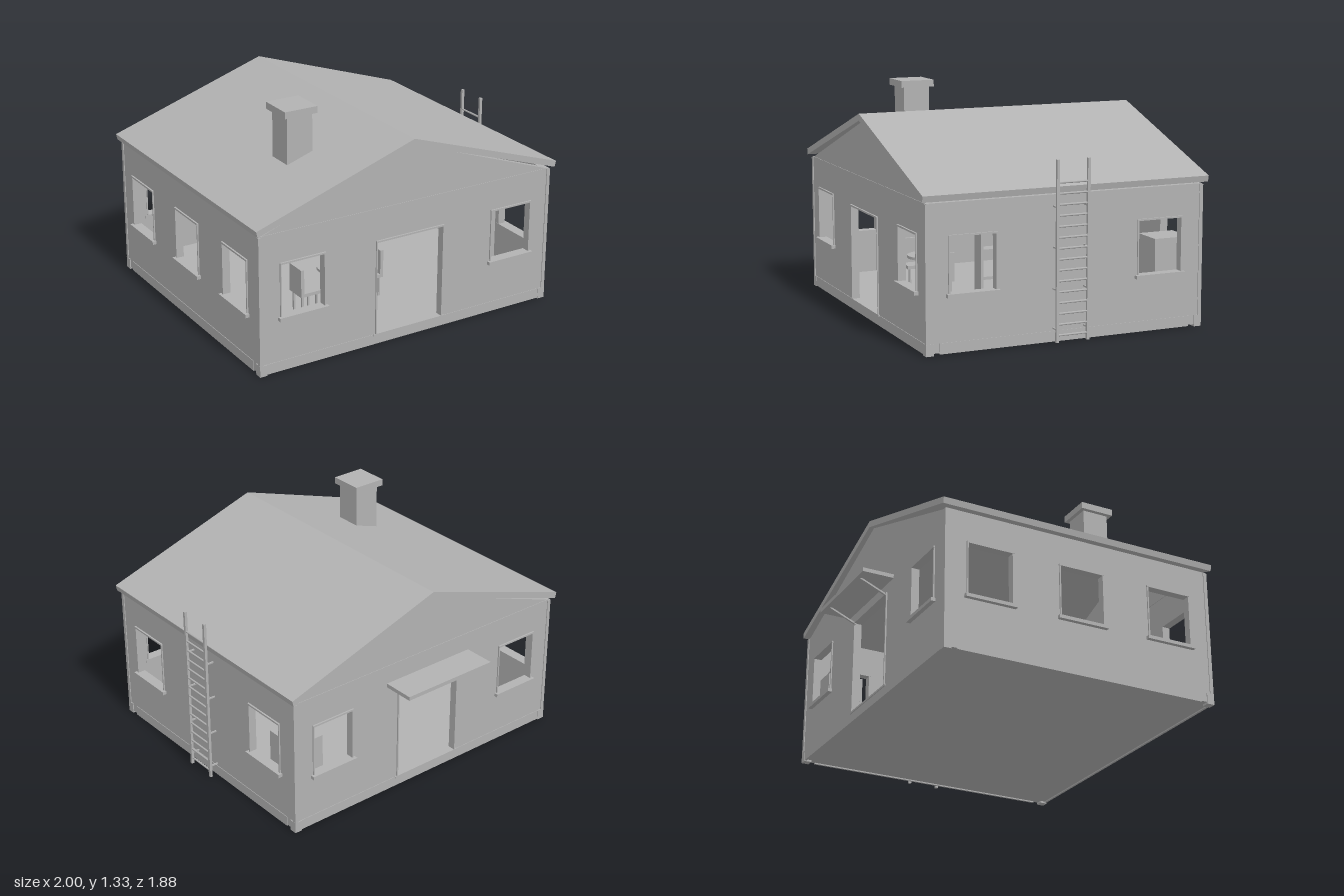
import * as THREE from 'three';

const grey = new THREE.MeshStandardMaterial({ color: 0xb2b2b2 });
grey.name = 'plain grey';

const CX = -0.015, CZ = 0.08;   // house centre
const HX = 0.955, HZ = 0.832;   // half width and half depth of the walls
const T = 0.035, WALL_TOP = 0.82, FLOOR = 0.065;

function add(parent, name, geometry, x = 0, y = 0, z = 0) {
  const mesh = new THREE.Mesh(geometry, grey);
  mesh.name = name;
  mesh.position.set(x, y, z);
  parent.add(mesh);
  return mesh;
}

// Box given by its limits on each axis
function box(parent, name, x0, x1, y0, y1, z0, z1) {
  return add(parent, name, new THREE.BoxGeometry(x1 - x0, y1 - y0, z1 - z0),
    (x0 + x1) / 2, (y0 + y1) / 2, (z0 + z1) / 2);
}

function group(parent, name, x = 0, y = 0, z = 0) {
  const g = new THREE.Group();
  g.name = name;
  g.position.set(x, y, z);
  parent.add(g);
  return g;
}

function polygon(points) {
  return new THREE.Shape(points.map(([x, y]) => new THREE.Vector2(x, y)));
}

function extrude(shape, depth) {
  return new THREE.ExtrudeGeometry(shape, { depth, bevelEnabled: false });
}

const windowAt = (u) => ({ u, half: 0.134, y0: 0.33, y1: 0.635, sill: true });
const door = { u: 0, half: 0.218, y0: FLOOR, y1: 0.622, sill: false };

// Wall with openings, linings, sills and plinth; its outside faces local +z
function buildWall(house, name, half, distance, angle, openings) {
  const g = group(house, name);
  g.rotation.y = angle;
  const shape = polygon([[-half, 0.012], [half, 0.012], [half, WALL_TOP], [-half, WALL_TOP]]);
  for (const { u, half: h, y0, y1 } of openings) {
    shape.holes.push(new THREE.Path([
      [u - h, y0], [u - h, y1], [u + h, y1], [u + h, y0],
    ].map(([x, y]) => new THREE.Vector2(x, y))));
  }
  add(g, 'wallPanel', extrude(shape, T), 0, 0, distance - T);
  const inner = distance - T - 0.004, outer = distance + 0.008;
  for (const { u, half: h, y0, y1, sill } of openings) {
    for (const s of [-1, 1]) {
      const edge = u + s * (h + 0.003);
      box(g, 'sideLining', edge - 0.004, edge + 0.004, y0, y1, inner, outer);
    }
    box(g, 'lintel', u - h - 0.008, u + h + 0.008, y1, y1 + 0.01, inner, outer + 0.002);
    if (sill) box(g, 'windowSill', u - h - 0.02, u + h + 0.02, y0 - 0.02, y0, inner, distance + 0.025);
    else box(g, 'doorStep', u - h - 0.02, u + h + 0.02, y0 - 0.008, y0 + 0.003, inner, outer);
  }
  box(g, 'plinth', -half + 0.04, half - 0.04, 0.005, FLOOR, distance - 0.01, distance + 0.003);
}

// Chair whose back stands on local +x
function buildChair(parent, x, z, angle) {
  const g = group(parent, 'chair', x, FLOOR, z);
  g.rotation.y = angle;
  box(g, 'seat', -0.065, 0.065, 0.12, 0.14, -0.065, 0.065);
  box(g, 'backrest', 0.045, 0.065, 0.14, 0.29, -0.065, 0.065);
  for (const sx of [-1, 1]) for (const sz of [-1, 1]) {
    add(g, 'chairLeg', new THREE.BoxGeometry(0.012, 0.12, 0.012), sx * 0.047, 0.06, sz * 0.047);
  }
}

function buildTable(parent, x, z) {
  const g = group(parent, 'table', x, FLOOR, z);
  add(g, 'tableTop', new THREE.CylinderGeometry(0.118, 0.118, 0.016, 32), 0, 0.227, 0);
  add(g, 'tablePost', new THREE.CylinderGeometry(0.013, 0.013, 0.22, 16), 0, 0.11, 0);
  add(g, 'tableBase', new THREE.CylinderGeometry(0.078, 0.078, 0.01, 32), 0, 0.005, 0);
}

export function createModel() {
  const model = new THREE.Group();
  model.name = 'house';

  // Shell
  const shell = group(model, 'shell', CX, 0, CZ);
  box(shell, 'floor', -HX + 0.005, HX - 0.005, 0.012, FLOOR, -HZ + 0.005, HZ - 0.005);
  const frontOpenings = [windowAt(-0.69), door, windowAt(0.69)];
  const sideOpenings = [windowAt(-0.565), windowAt(0.565)];
  buildWall(shell, 'frontWall', HX, HZ, 0, frontOpenings);
  buildWall(shell, 'backWall', HX, HZ, Math.PI, frontOpenings);
  buildWall(shell, 'leftWall', HZ - T, HX, Math.PI / 2, sideOpenings);
  buildWall(shell, 'rightWall', HZ - T, HX, -Math.PI / 2, [...sideOpenings, windowAt(0)]);

  // Corner trims and feet
  for (const sx of [-1, 1]) for (const sz of [-1, 1]) {
    const x = sx * HX, z = sz * HZ;
    add(shell, 'cornerTrim', new THREE.BoxGeometry(0.022, 0.75, 0.022), x - sx * 0.006, 0.44, z - sz * 0.006);
    add(shell, 'cornerFoot', new THREE.BoxGeometry(0.045, FLOOR, 0.045), x - sx * 0.017, FLOOR / 2, z - sz * 0.017);
  }

  // Gables and roof
  const gable = polygon([[-0.935, WALL_TOP], [0.935, WALL_TOP], [0, 1.15]]);
  add(shell, 'frontGable', extrude(gable, T), 0, 0, HZ - T - 0.003);
  add(shell, 'backGable', extrude(gable, T), 0, 0, -HZ + 0.003);
  const roof = polygon([[-0.983, 0.865], [-0.975, 0.83], [0, 1.15], [0.975, 0.83], [0.983, 0.865], [0, 1.19]]);
  add(shell, 'roof', extrude(roof, 1.716), 0, 0, -0.858);

  // Chimney
  box(model, 'chimney', -0.565, -0.405, 0.97, 1.29, 0.355, 0.515);
  box(model, 'chimneyCap', -0.59, -0.385, 1.285, 1.325, 0.332, 0.538);

  // Awning over the back door with sloping braces
  const awning = group(model, 'awning');
  box(awning, 'awningSlab', -0.32, 0.29, 0.687, 0.71, -0.94, -0.75);
  for (const x of [-0.23, 0.2]) {
    const brace = add(awning, 'awningBrace', new THREE.BoxGeometry(0.012, 0.01, 0.18), x, 0.653, -0.835);
    brace.rotation.x = Math.atan2(0.07, 0.165);
  }

  // Ladder on the left wall
  const ladder = group(model, 'ladder');
  for (const z of [-0.015, 0.17]) {
    box(ladder, 'ladderRail', 0.982, 0.998, 0.01, 1.015, z - 0.008, z + 0.008);
    for (const y of [0.08, 0.3, 0.53, 0.755]) {
      box(ladder, 'ladderBracket', 0.93, 0.985, y - 0.004, y + 0.004, z - 0.004, z + 0.004);
    }
  }
  for (let i = 0; i < 15; i++) {
    const rung = add(ladder, 'ladderRung', new THREE.CylinderGeometry(0.006, 0.006, 0.185, 8),
      0.99, 0.05 + i * 0.06, 0.0775);
    rung.rotation.x = Math.PI / 2;
  }

  // Furniture
  const furniture = group(model, 'furniture');
  buildTable(furniture, -0.208, 0.455);
  buildChair(furniture, 0.003, 0.455, 0);
  buildChair(furniture, -0.419, 0.455, Math.PI);

  // Open shelf along the left wall
  const shelf = group(furniture, 'shelf');
  for (const z of [0.17, 0.54]) box(shelf, 'shelfSide', 0.755, 0.842, FLOOR, 0.866, z, z + 0.016);
  for (const y of [0.08, 0.22, 0.37, 0.52, 0.67, 0.85]) {
    box(shelf, 'shelfBoard', 0.757, 0.84, y - 0.008, y + 0.008, 0.18, 0.545);
  }

  // Cabinet in the back left corner
  const cabinet = group(furniture, 'cabinet');
  box(cabinet, 'cabinetBody', 0.705, 0.9, FLOOR, 0.515, -0.7, -0.48);
  box(cabinet, 'cabinetDoor', 0.697, 0.705, 0.1, 0.34, -0.685, -0.495);
  box(cabinet, 'cabinetDrawer', 0.697, 0.705, 0.36, 0.45, -0.685, -0.495);
  return model;
}
